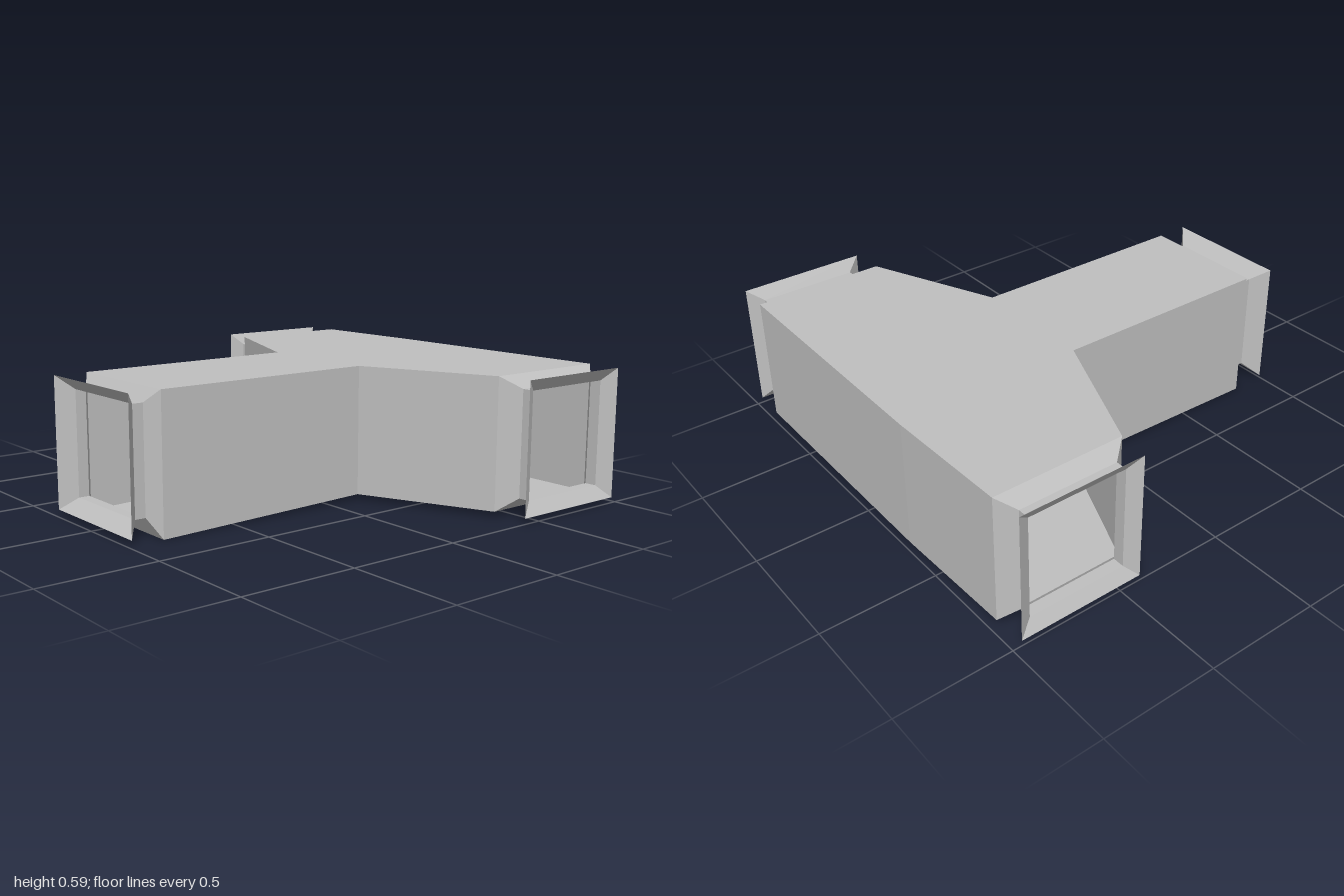
import * as THREE from 'three';

const sheetMetal = new THREE.MeshStandardMaterial({ color: 0xc0c0c0 });
sheetMetal.name = 'sheetMetal';
sheetMetal.side = THREE.DoubleSide;
sheetMetal.flatShading = true;

// Flat-faced mesh from convex polygons, each a list of [x, y, z] corners
function panels(name, polygons) {
  const pos = [];
  for (const p of polygons)
    for (let i = 1; i < p.length - 1; i++) pos.push(...p[0], ...p[i], ...p[i + 1]);
  const geo = new THREE.BufferGeometry();
  geo.setAttribute('position', new THREE.Float32BufferAttribute(pos, 3));
  geo.computeVertexNormals();
  const mesh = new THREE.Mesh(geo, sheetMetal);
  mesh.name = name;
  return mesh;
}

// Open square collar: rings of [distance, u0, u1, y0, y1] joined by four sides
function collar(name, rings, place) {
  const loops = rings.map(([d, u0, u1, y0, y1]) =>
    [place(u0, y0, d), place(u1, y0, d), place(u1, y1, d), place(u0, y1, d)]);
  const quads = [];
  for (let r = 0; r < loops.length - 1; r++)
    for (let i = 0; i < 4; i++) {
      const j = (i + 1) % 4;
      quads.push([loops[r][i], loops[r][j], loops[r + 1][j], loops[r + 1][i]]);
    }
  return panels(name, quads);
}

export function createModel() {
  const group = new THREE.Group();
  group.name = 'ductTee';
  const TOP = 0.59, BASE = 0.027;

  // Plan outline as [x, z]; the arm floor dips towards its open end
  const plan = [
    [-0.84, 0.28], [0.155, 0.28], [0.4, 0.85], [0.98, 0.85], [0.985, -0.3],
    [0.97, -0.86], [0.39, -0.86], [0.155, -0.285], [-0.84, -0.285],
  ];
  const low = ([x, z]) => [x, x < -0.5 ? 0.003 : BASE, z];
  const high = ([x, z]) => [x, TOP, z];

  // Side walls, leaving the three mouths open
  const openEdges = [2, 5, 8];
  const walls = [];
  plan.forEach((a, i) => {
    if (openEdges.includes(i)) return;
    const b = plan[(i + 1) % plan.length];
    walls.push([low(a), low(b), high(b), high(a)]);
  });
  group.add(panels('bodyWalls', walls));

  // Roof and floor, each split into the side arm and the main run
  const arm = [plan[0], plan[1], plan[7], plan[8]];
  const run = plan.slice(1, 8);
  group.add(panels('bodyRoof', [arm.map(high), run.map(high)]));
  group.add(panels('bodyFloor', [arm, run].map((p) => p.map(low).reverse())));

  // Collars: taper, straight neck, flared flange
  group.add(collar('frontCollar', [
    [0.85, 0.4, 0.98, BASE, TOP],
    [0.912, 0.478, 0.908, 0.083, 0.538],
    [0.963, 0.478, 0.908, 0.083, 0.538],
    [1, 0.415, 0.975, BASE, TOP],
  ], (u, y, d) => [u, y, d]));
  group.add(collar('backCollar', [
    [0.86, 0.97, 0.39, BASE, TOP],
    [0.917, 0.9, 0.462, 0.083, 0.538],
    [0.968, 0.9, 0.462, 0.083, 0.538],
    [1, 0.96, 0.403, BASE, TOP],
  ], (u, y, d) => [u, y, -d]));
  group.add(collar('armCollar', [
    [0.84, -0.285, 0.28, 0.003, TOP],
    [0.88, -0.225, 0.215, 0.083, 0.535],
    [0.927, -0.225, 0.215, 0.083, 0.535],
    [0.985, -0.295, 0.285, BASE, TOP],
  ], (u, y, d) => [-d, y, u]));

  return group;
}
